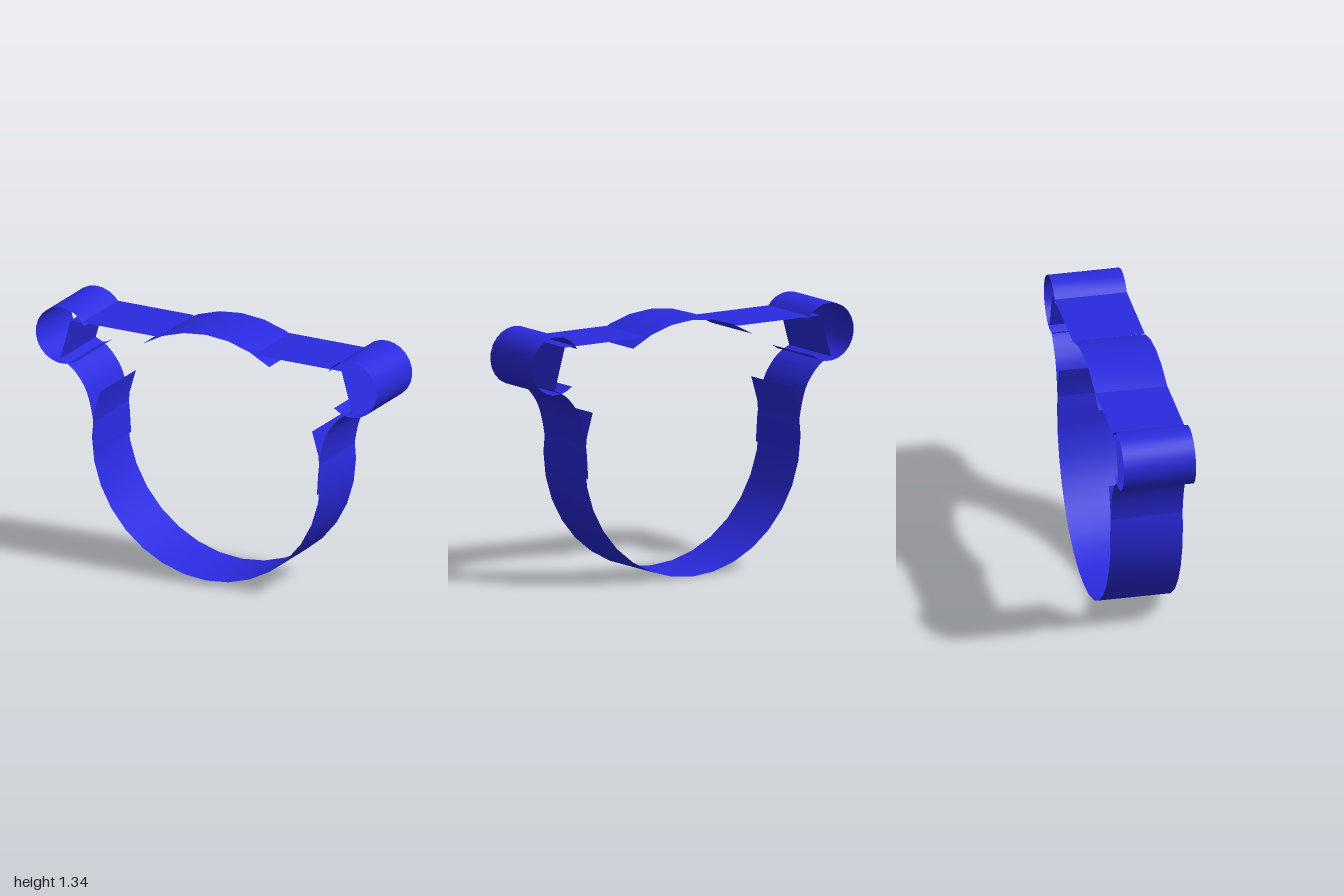
import * as THREE from 'three';

const HALF_DEPTH = 0.189;
const blue = new THREE.MeshStandardMaterial({ color: 0x2a2ae0, side: THREE.DoubleSide });

// Thin open sheet: a path in x, y swept along z
function ribbon(name, points) {
  const pos = [], index = [];
  points.forEach(([x, y], i) => {
    pos.push(x, y, HALF_DEPTH, x, y, -HALF_DEPTH);
    if (i > 0) {
      const a = 2 * (i - 1);
      index.push(a, a + 2, a + 1, a + 1, a + 2, a + 3);
    }
  });
  const geo = new THREE.BufferGeometry();
  geo.setAttribute('position', new THREE.Float32BufferAttribute(pos, 3));
  geo.setIndex(index);
  geo.computeVertexNormals();
  const mesh = new THREE.Mesh(geo, blue);
  mesh.name = name;
  return mesh;
}

// Points on an arc, angles in degrees
function arc(cx, cy, r, from, to, segments) {
  return Array.from({ length: segments + 1 }, (_, i) => {
    const a = THREE.MathUtils.degToRad(from + (to - from) * i / segments);
    return [cx + r * Math.cos(a), cy + r * Math.sin(a)];
  });
}

export function createModel() {
  const group = new THREE.Group();
  group.name = 'clampBand';

  // Main band: long lower arc and short upper arch of one circle
  group.add(ribbon('lowerBand', arc(0, 0.67, 0.67, -202, 22, 20)));
  group.add(ribbon('upperArch', arc(0, 0.67, 0.67, 56.5, 123.5, 6)));

  // Concave blend from the band up into the tube
  const blend = new THREE.SplineCurve([
    [0.65, 0.578], [0.664, 0.76], [0.7, 0.905], [0.755, 0.99], [0.806, 1.035], [0.857, 1.06],
  ].map(p => new THREE.Vector2(...p))).getPoints(15).map(p => [p.x, p.y]);

  for (const [side, s] of [['left', 1], ['right', -1]]) {
    const add = (part, points) =>
      group.add(ribbon(side + part, points.map(([x, y]) => [s * x, y])));
    add('Tube', arc(0.848, 1.188, 0.152, -130, 150, 18));
    add('TopPlate', [[0.28, 1.28], [0.795, 1.28]]);
    add('InnerWall', [[0.795, 1.28], [0.857, 1.06]]);
    add('Blend', blend);
  }
  return group;
}
